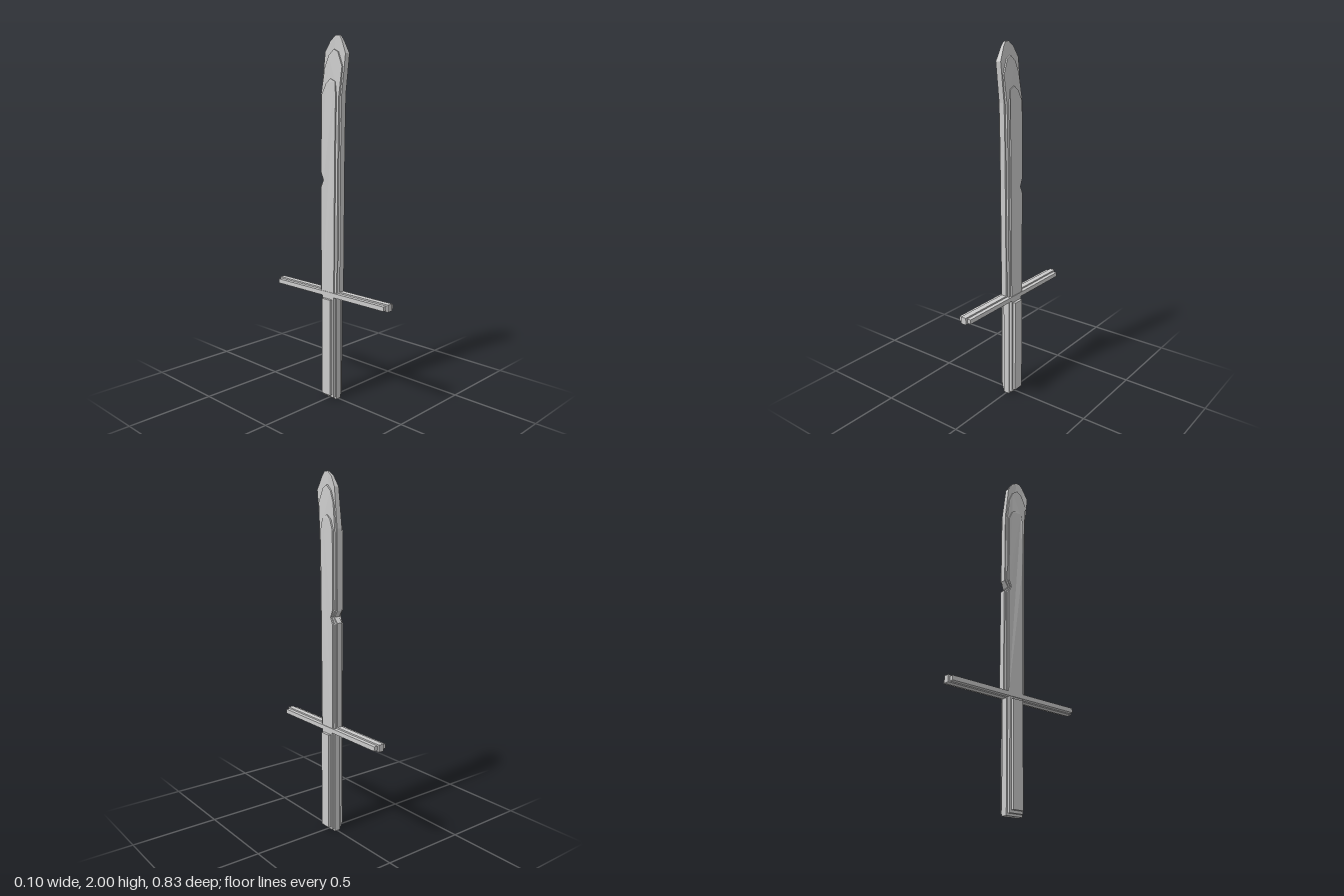
import * as THREE from 'three';

const material = new THREE.MeshStandardMaterial({ color: 0xcccccc, flatShading: true });

function add(group, name, geometry) {
  const mesh = new THREE.Mesh(geometry, material);
  mesh.name = name;
  group.add(mesh);
  return mesh;
}

// Flat slab from a [z, y] outline, thickness across x, thinning between two heights
function slab(points, half, taperStart, taperEnd, endHalf) {
  const shape = new THREE.Shape(points.map(([z, y]) => new THREE.Vector2(z, y)));
  const geometry = new THREE.ExtrudeGeometry(shape, { depth: 2 * half, bevelEnabled: false });
  geometry.translate(0, 0, -half);
  geometry.rotateY(-Math.PI / 2);
  const p = geometry.attributes.position;
  for (let i = 0; i < p.count; i++) {
    const t = THREE.MathUtils.clamp((p.getY(i) - taperStart) / (taperEnd - taperStart), 0, 1);
    p.setX(i, p.getX(i) * THREE.MathUtils.lerp(1, endHalf / half, t));
  }
  geometry.computeVertexNormals();
  return geometry;
}

// Box given by its extents: half width in x, then y and z ranges
function block(halfX, y0, y1, z0, z1) {
  const geometry = new THREE.BoxGeometry(2 * halfX, y1 - y0, z1 - z0);
  geometry.translate(0, (y0 + y1) / 2, (z0 + z1) / 2);
  return geometry;
}

export function createModel() {
  const sword = new THREE.Group();
  sword.name = 'sword';

  // Blade: three stacked layers, all cut by the notch in the back edge
  const blade = new THREE.Group();
  blade.name = 'blade';
  sword.add(blade);
  add(blade, 'bladeEdge', slab([
    [0.07, 0.6], [-0.073, 0.6], [-0.07, 1.215], [-0.043, 1.245], [-0.068, 1.28],
    [-0.065, 1.71], [-0.039, 1.92], [-0.005, 1.975], [0.03, 2], [0.055, 2],
    [0.075, 1.975], [0.108, 1.905], [0.083, 1.7], [0.077, 1.45],
  ], 0.016, 1.9, 2, 0.006));
  add(blade, 'bladeBody', slab([
    [0.058, 0.6], [-0.062, 0.6], [-0.062, 1.208], [-0.038, 1.245], [-0.062, 1.285],
    [-0.06, 1.69], [-0.036, 1.84], [-0.01, 1.9], [0.025, 1.93], [0.055, 1.915],
    [0.088, 1.84], [0.072, 1.69], [0.066, 1.4],
  ], 0.027, 1.69, 1.93, 0.017));
  add(blade, 'bladeRidge', slab([
    [0.043, 0.6], [-0.052, 0.6], [-0.052, 1.205], [-0.034, 1.245], [-0.052, 1.288],
    [-0.047, 1.7], [-0.02, 1.755], [0.01, 1.78], [0.045, 1.765], [0.056, 1.69], [0.05, 1.4],
  ], 0.035, 1.69, 1.78, 0.027));

  // Crossguard: broad bar with a raised central rib
  const guard = new THREE.Group();
  guard.name = 'crossguard';
  sword.add(guard);
  add(guard, 'guardBar', block(0.038, 0.6, 0.625, -0.406, 0.402));
  add(guard, 'guardRib', block(0.016, 0.594, 0.633, -0.418, 0.414));

  // Grip: core, stepped shell and side panels
  const grip = new THREE.Group();
  grip.name = 'grip';
  sword.add(grip);
  add(grip, 'gripCore', block(0.018, 0, 0.6, -0.052, 0.049));
  add(grip, 'gripShell', block(0.034, 0.012, 0.6, -0.044, 0.041));
  add(grip, 'gripPanels', block(0.05, 0.026, 0.585, -0.034, 0.03));

  return sword;
}
